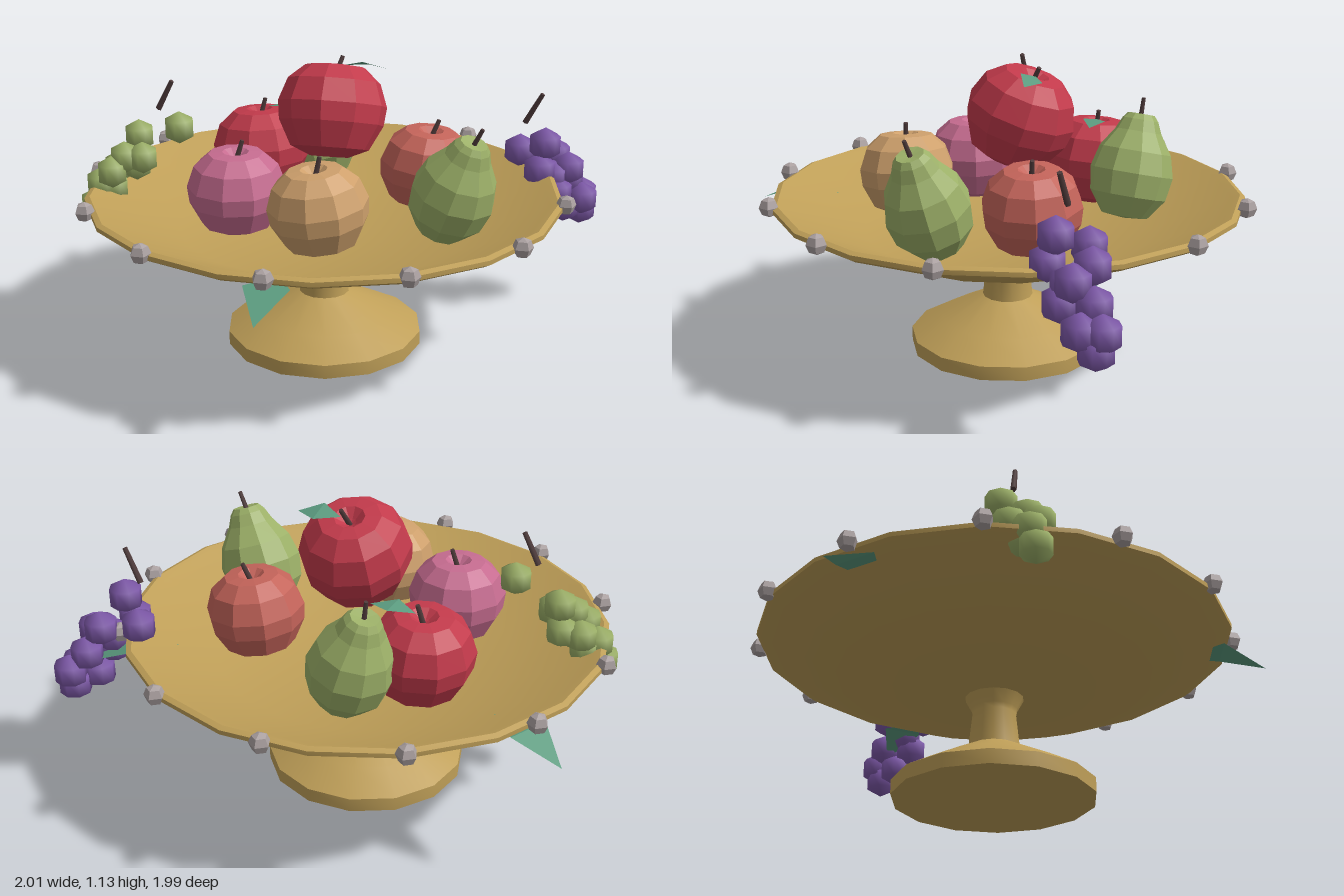
import * as THREE from 'three';
import { toCreasedNormals } from 'three/addons/utils/BufferGeometryUtils.js';

const mat = (name, color, side = THREE.FrontSide) => {
  const m = new THREE.MeshStandardMaterial({ color, side });
  m.name = name;
  return m;
};

export function createModel() {
  const M = {
    gold: mat('gold', 0xbf9f58),
    silver: mat('silver', 0xaaa0a0),
    red: mat('apple red', 0xc23a4b),
    coral: mat('coral', 0xc4645a),
    pink: mat('pink', 0xc66c90),
    tan: mat('tan', 0xcea06c),
    green: mat('pear green', 0x9cb068),
    purple: mat('grape purple', 0x7d58a8),
    leaf: mat('leaf green', 0x5c9c80, THREE.DoubleSide),
    stem: mat('stem brown', 0x503c3c),
  };
  const root = new THREE.Group();
  root.name = 'fruitStand';

  const add = (parent, name, geo, material, x = 0, y = 0, z = 0) => {
    const m = new THREE.Mesh(geo, material);
    m.name = name;
    m.position.set(x, y, z);
    parent.add(m);
    return m;
  };
  const group = (parent, name, x = 0, y = 0, z = 0) => {
    const g = new THREE.Group();
    g.name = name;
    g.position.set(x, y, z);
    parent.add(g);
    return g;
  };
  const lathe = (pts, n, start = 0) =>
    new THREE.LatheGeometry(pts.map(([r, y]) => new THREE.Vector2(r, y)), n, start);
  const flat = (g) => {
    const f = g.toNonIndexed();
    f.computeVertexNormals();
    return f;
  };
  // Thin pointed leaf from a four-corner outline, folded along its middle
  const diamond = (a, l, b, r) => {
    const g = new THREE.BufferGeometry();
    g.setAttribute('position', new THREE.Float32BufferAttribute([...a, ...l, ...r, ...l, ...b, ...r], 3));
    g.computeVertexNormals();
    return g;
  };
  // Straight round stem between two points
  const stick = (parent, name, a, b, r = 0.011) => {
    const p = new THREE.Vector3(...a), q = new THREE.Vector3(...b);
    const d = q.clone().sub(p);
    const m = add(parent, name, new THREE.CylinderGeometry(r * 0.8, r, d.length(), 5), M.stem);
    m.position.copy(p).add(q).multiplyScalar(0.5);
    m.quaternion.setFromUnitVectors(new THREE.Vector3(0, 1, 0), d.normalize());
  };

  // Pedestal and shallow dish, slightly oval
  const stand = group(root, 'stand', -0.037, 0, -0.05);
  stand.scale.z = 0.983;
  const foot = [[0, 0], [0.39, 0], [0.39, 0.055], [0.27, 0.12], [0.1, 0.205],
    [0.085, 0.34], [0.09, 0.36], [0.12, 0.415], [0, 0.42]];
  add(stand, 'pedestal', toCreasedNormals(lathe(foot, 14, Math.PI / 2), 0.6), M.gold);
  const dish = [[0, 0.405], [0.12, 0.405], [0.585, 0.467], [0.9, 0.6], [0.925, 0.615],
    [0.925, 0.632], [0.905, 0.64], [0.875, 0.628], [0.57, 0.49], [0, 0.45]];
  add(stand, 'dish', toCreasedNormals(lathe(dish, 18, Math.PI / 2), 0.6), M.gold);

  // Beads around the rim
  const beadGeo = flat(new THREE.SphereGeometry(0.039, 5, 4).rotateY(-Math.PI / 2));
  for (let i = 0; i < 12; i++) {
    const a = (i * Math.PI) / 6;
    add(stand, 'rimBead', beadGeo, M.silver, 0.932 * Math.sin(a), 0.637, 0.932 * Math.cos(a));
  }

  // Three leaves poking through the rim
  const rimLeafGeo = diamond([0, 0.565, 0.72], [-0.082, 0.59, 0.89], [0, 0.52, 1.055], [0.082, 0.59, 0.89]);
  for (let i = 0; i < 3; i++) {
    add(stand, 'rimLeaf', rimLeafGeo, M.leaf).rotation.y = (i * Math.PI * 2) / 3;
  }

  // Apples: unit profile scaled by radius
  const appleGeo = flat(lathe([[0, -0.68], [0.35, -0.82], [0.72, -0.66], [0.96, -0.2], [1, 0.14],
    [0.85, 0.56], [0.55, 0.82], [0.27, 0.85], [0.1, 0.72], [0, 0.66]], 10));
  const appleLeafGeo = diamond([0.01, 0, 0], [0.09, 0.012, 0.045], [0.18, -0.005, 0], [0.1, 0.012, -0.045]);
  const apples = [
    ['redAppleLeft', M.red, 0.197, -0.36, 0.69, -0.32, -0.05, 0.06, true],
    ['redAppleTop', M.red, 0.212, -0.016, 0.93, -0.1, -0.34, 0, true],
    ['coralApple', M.coral, 0.187, 0.335, 0.68, -0.24, 0, -0.1, false],
    ['pinkApple', M.pink, 0.187, -0.326, 0.675, 0.17, 0.02, 0, false],
    ['tanApple', M.tan, 0.187, 0.03, 0.69, 0.34, 0.05, 0.1, false],
  ];
  for (const [name, m, r, x, y, z, rx, rz, leafy] of apples) {
    const g = group(root, name, x, y, z);
    g.rotation.set(rx, 0, rz);
    add(g, 'appleBody', appleGeo, m).scale.setScalar(r);
    stick(g, 'appleStem', [0, r * 0.62, 0], [0.025, r * 0.62 + 0.085, -0.01]);
    if (leafy) add(g, 'appleLeaf', appleLeafGeo, M.leaf, 0.02, r * 0.62 + 0.05, -0.01);
  }

  // Pears
  const pearGeo = flat(lathe([[0, -0.19], [0.09, -0.18], [0.148, -0.1], [0.162, -0.01], [0.14, 0.075],
    [0.09, 0.15], [0.07, 0.195], [0.052, 0.217], [0, 0.21]], 10));
  for (const [name, x, y, z, rx, rz] of [
    ['pearBack', -0.17, 0.715, -0.51, -0.1, 0.27],
    ['pearFront', 0.49, 0.715, 0.105, 0.17, -0.33],
  ]) {
    const g = group(root, name, x, y, z);
    g.rotation.set(rx, 0, rz);
    add(g, 'pearBody', pearGeo, M.green);
    stick(g, 'pearStem', [0, 0.2, 0], [0.01, 0.28, 0], 0.01);
  }

  // Grape bunches hanging over the rim
  const bunch = (name, m, r, list, a, b) => {
    const g = group(root, name);
    const geo = new THREE.SphereGeometry(r, 8, 3);
    for (const p of list) add(g, 'grape', geo, m, ...p);
    stick(g, 'bunchStem', a, b, 0.012);
  };
  bunch('purpleGrapes', M.purple, 0.07, [
    [0.785, 0.75, -0.43], [0.68, 0.69, -0.52], [0.77, 0.65, -0.4], [0.82, 0.67, -0.56],
    [0.82, 0.6, -0.48], [0.88, 0.56, -0.58], [0.88, 0.63, -0.51], [0.935, 0.49, -0.62],
    [0.94, 0.49, -0.55], [0.87, 0.46, -0.53], [0.935, 0.43, -0.6], [0.84, 0.54, -0.46],
  ], [0.7, 0.83, -0.45], [0.765, 0.955, -0.435]);
  bunch('greenGrapes', M.green, 0.065, [
    [-0.59, 0.87, 0.04], [-0.77, 0.815, 0], [-0.73, 0.75, 0.08], [-0.8, 0.75, 0.09],
    [-0.78, 0.7, 0.02], [-0.85, 0.69, 0.03], [-0.84, 0.7, 0.13], [-0.9, 0.64, 0.1],
    [-0.92, 0.56, 0.12], [-0.86, 0.62, 0.07],
  ], [-0.67, 0.94, 0.04], [-0.61, 1.055, 0.045]);

  return root;
}
